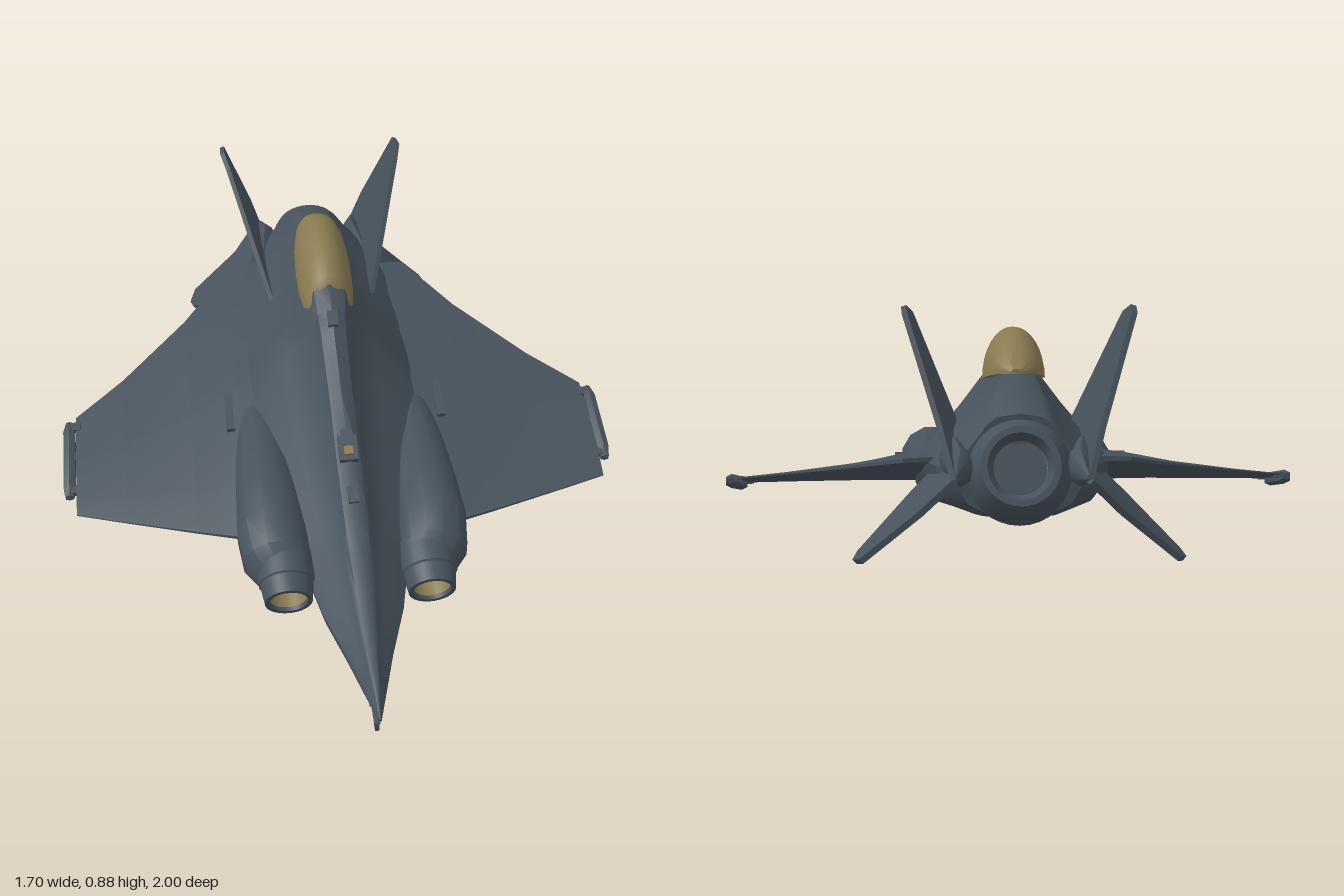
import * as THREE from 'three';
import { toCreasedNormals } from 'three/addons/utils/BufferGeometryUtils.js';

const hull = new THREE.MeshStandardMaterial({ color: 0x47525c, side: THREE.DoubleSide });
hull.name = 'slateHull';
const gold = new THREE.MeshStandardMaterial({ color: 0x887a50, side: THREE.DoubleSide });
gold.name = 'amberGlass';

// Skin a list of equal-length closed rings of [x, y, z] points and cap both ends.
function loft(rings, crease = 0.7) {
  const n = rings[0].length, pos = rings.flat(2), idx = [];
  for (let i = 0; i < rings.length - 1; i++) {
    for (let j = 0; j < n; j++) {
      const a = i * n + j, b = i * n + (j + 1) % n;
      idx.push(a, b, a + n, b, b + n, a + n);
    }
  }
  [0, rings.length - 1].forEach((r, end) => {
    const c = pos.length / 3;
    for (let k = 0; k < 3; k++) pos.push(rings[r].reduce((s, p) => s + p[k], 0) / n);
    for (let j = 0; j < n; j++) {
      const a = r * n + j, b = r * n + (j + 1) % n;
      if (end) idx.push(a, b, c); else idx.push(b, a, c);
    }
  });
  // turn the faces outward whichever way the rings run
  const v = (i) => new THREE.Vector3().fromArray(pos, i * 3);
  let volume = 0;
  for (let i = 0; i < idx.length; i += 3) volume += v(idx[i]).dot(v(idx[i + 1]).cross(v(idx[i + 2])));
  if (volume < 0) idx.reverse();
  const g = new THREE.BufferGeometry();
  g.setAttribute('position', new THREE.Float32BufferAttribute(pos, 3));
  g.setIndex(idx);
  return toCreasedNormals(g, crease);
}

// Flat plate from a 3D outline, thickened along a normal.
function plate(outline, normal, t) {
  return loft([-t, t].map((d) => outline.map((p) => p.map((c, k) => c + normal[k] * d))), 0.3);
}

// Wing plane climbs toward the tail, a little steeper behind the middle
const wingY = (x, z) => 0.277 - (z > 0 ? 0.25 : 0.285) * z - 0.035 * x;
const PITCH = Math.atan(0.25);

export function createModel() {
  const model = new THREE.Group();
  model.name = 'fighterCraft';
  const add = (name, geo, mat = hull, parent = model) => {
    const m = new THREE.Mesh(geo, mat);
    m.name = name;
    parent.add(m);
    return m;
  };
  const box = (name, size, at, mat = hull, pitch = PITCH) => {
    const m = add(name, new THREE.BoxGeometry(...size), mat);
    m.position.set(...at);
    m.rotation.x = pitch;
  };

  // Fuselage stations: z, bottom, widest height, top, half width, half width of spine
  const stations = [
    [1, 0.095, 0.1, 0.105, 0.004, 0.002], [0.9, 0.08, 0.11, 0.15, 0.033, 0.012],
    [0.8, 0.072, 0.13, 0.195, 0.063, 0.022], [0.65, 0.076, 0.16, 0.26, 0.115, 0.035],
    [0.5, 0.09, 0.185, 0.335, 0.15, 0.045], [0.4, 0.1, 0.2, 0.383, 0.205, 0.048],
    [0.3, 0.11, 0.215, 0.432, 0.245, 0.05], [0.1, 0.14, 0.26, 0.53, 0.28, 0.05],
    [-0.08, 0.17, 0.308, 0.62, 0.295, 0.055], [-0.15, 0.183, 0.325, 0.66, 0.295, 0.06],
    [-0.21, 0.195, 0.34, 0.71, 0.292, 0.069], [-0.235, 0.2, 0.347, 0.703, 0.29, 0.07],
    [-0.3, 0.213, 0.363, 0.69, 0.285, 0.077], [-0.4, 0.235, 0.392, 0.675, 0.275, 0.077],
    [-0.62, 0.285, 0.445, 0.688, 0.25, 0.07], [-0.75, 0.315, 0.465, 0.66, 0.215, 0.085],
    [-0.84, 0.34, 0.478, 0.615, 0.165, 0.085],
  ];
  add('fuselage', loft(stations.map(([z, bot, mid, top, w, t]) => {
    const a = top - mid, b = mid - bot;
    const half = [
      [0.7 * t, top - 0.06 * a], [t, top - 0.22 * a], [t + (w - t) * 0.35, mid + 0.5 * a],
      [t + (w - t) * 0.7, mid + 0.25 * a], [w, mid], [0.95 * w, mid - 0.38 * b],
      [0.8 * w, mid - 0.7 * b], [0.45 * w, mid - 0.91 * b],
    ];
    return [[0, top, z], ...half.map(([x, y]) => [x, y, z]), [0, bot, z],
      ...half.slice().reverse().map(([x, y]) => [-x, y, z])];
  }), 0.75));

  // Canopy stations: z, sill height, top, half width
  const canopy = [[-0.198, 0.61, 0.69, 0.066], [-0.225, 0.612, 0.73, 0.076], [-0.3, 0.618, 0.763, 0.085],
    [-0.4, 0.632, 0.776, 0.087], [-0.5, 0.652, 0.769, 0.082], [-0.58, 0.67, 0.744, 0.068],
    [-0.63, 0.682, 0.715, 0.045], [-0.652, 0.685, 0.698, 0.02]];
  add('canopy', loft(canopy.map(([z, y0, y1, w]) => Array.from({ length: 17 }, (_, i) => {
    const a = i * Math.PI / 16;
    return [w * Math.cos(a), y0 + (y1 - y0) * Math.sin(a), z];
  })), 0.8), gold);

  // Nozzle along +y whose throat is lined from one depth to another, then aimed along a direction
  const nozzle = (name, at, dir, profile, r, from, to) => {
    const g = new THREE.Group();
    g.name = name;
    g.position.set(...at);
    g.quaternion.setFromUnitVectors(new THREE.Vector3(0, 1, 0), new THREE.Vector3(...dir).normalize());
    const pts = [...profile, [r, -from]].map((p) => new THREE.Vector2(...p));
    add('nozzleShell', toCreasedNormals(new THREE.LatheGeometry(pts, 32), 0.6), hull, g);
    add('throatLining', new THREE.CylinderGeometry(r, r, to - from, 32, 1, true), gold, g)
      .position.y = -(from + to) / 2;
    add('throatBack', new THREE.CylinderGeometry(r, r, 0.008, 32), hull, g).position.y = -to;
    model.add(g);
  };
  nozzle('tailNozzle', [0, 0.5, -0.925], [0, 0.35, -1],
    [[0.138, -0.13], [0.128, -0.06], [0.117, -0.03], [0.1, 0], [0.084, 0]], 0.068, 0.042, 0.072);

  for (const s of [1, -1]) {
    const side = s > 0 ? 'left' : 'right';
    const flip = (pts) => pts.map(([x, y, z]) => [s * x, y, z]);

    // Wing ribs: x, front z, rear z, half thickness
    const ribs = [[0.1, 0.38, -0.68, 0.085], [0.3, 0.335, -0.69, 0.058], [0.45, 0.295, -0.5, 0.036],
      [0.66, 0.235, -0.29, 0.02], [0.812, 0.19, -0.165, 0.012]];
    const foil = [[0, 0.1], [0.15, 0.7], [0.5, 1], [0.85, 0.5], [1, 0.1],
      [1, -0.1], [0.85, -0.3], [0.5, -0.4], [0.15, -0.3], [0, -0.1]];
    add(side + 'Wing', loft(ribs.map(([x, zf, zr, t]) => flip(foil.map(([f, h]) => {
      const z = zf + (zr - zf) * f;
      return [x, wingY(x, z) + h * t, z];
    })))));

    // Wing tip rail on struts
    const ends = [[0.12, 0.012, 0.01], [0.09, 0.018, 0.022], [-0.11, 0.018, 0.022], [-0.15, 0.01, 0.01]];
    add(side + 'TipRail', loft(ends.map(([z, w, h]) => flip(
      [[-w, -h * 0.6], [-w, h * 0.6], [0, h], [w, h * 0.6], [w, -h * 0.6], [0, -h]]
        .map(([x, y]) => [0.833 + x, wingY(0.83, z) - 0.005 + y, z])))));
    for (const z of [0.1, -0.02, -0.13]) {
      box(side + 'TipStrut', [0.03, 0.016, 0.03], [s * 0.813, wingY(0.81, z), z]);
    }

    // Engine pod fading into the wing root: z, centre x, centre y, radii
    const pod = [[0.52, 0.212, 0.182, 0.078, 0.072], [0.48, 0.23, 0.212, 0.1, 0.09], [0.38, 0.238, 0.24, 0.104, 0.1],
      [0.25, 0.238, 0.262, 0.098, 0.093], [0.1, 0.24, 0.285, 0.085, 0.075], [-0.04, 0.245, 0.31, 0.06, 0.05],
      [-0.18, 0.245, 0.325, 0.03, 0.03]];
    add(side + 'EnginePod', loft(pod.map(([z, cx, cy, rx, ry]) => Array.from({ length: 12 }, (_, i) => {
      const a = (i + 0.5) * Math.PI / 6;
      return [s * (cx + rx * Math.cos(a)), cy + ry * Math.sin(a), z];
    })), 0.6));
    nozzle(side + 'EngineNozzle', [s * 0.208, 0.163, 0.59], [0, -0.32, 1],
      [[0.082, -0.15], [0.082, -0.06], [0.077, -0.055], [0.069, 0], [0.056, 0]], 0.054, 0.012, 0.13);

    // Tail fins and the boom that carries them
    add(side + 'UpperFin', plate(flip([[0.165, 0.52, -0.43], [0.275, 0.855, -0.71], [0.29, 0.88, -0.77],
      [0.287, 0.87, -0.83], [0.2, 0.6, -0.945], [0.168, 0.48, -0.99], [0.15, 0.45, -0.72]]), [s * 0.95, -0.31, 0], 0.007));
    add(side + 'LowerFin', plate(flip([[0.2, 0.44, -0.62], [0.28, 0.37, -0.69], [0.41, 0.25, -0.815], [0.42, 0.24, -0.86],
      [0.4, 0.256, -0.915], [0.25, 0.385, -0.945], [0.168, 0.475, -1], [0.13, 0.5, -0.8]]), [s * 0.68, 0.73, 0], 0.008));
    const boom = [[-0.55, 0.18, 0.46, 0.03], [-0.75, 0.165, 0.48, 0.06], [-0.88, 0.15, 0.485, 0.048], [-0.985, 0.163, 0.482, 0.008]];
    add(side + 'TailBoom', loft(boom.map(([z, cx, cy, r]) => Array.from({ length: 8 }, (_, i) => {
      const a = i * Math.PI / 4;
      return [s * (cx + r * 0.7 * Math.cos(a)), cy + r * Math.sin(a), z];
    })), 0.9));

    // Small shoulder ridge beside the hull
    box(side + 'ShoulderRidge', [0.025, 0.025, 0.14], [s * 0.33, 0.338, -0.08]);
  }

  // Spine sensor and bumps
  box('spineSensorHousing', [0.055, 0.02, 0.08], [0, 0.45, 0.27], hull, 0.45);
  box('spineSensor', [0.026, 0.024, 0.026], [0, 0.452, 0.285], gold, 0.45);
  [[0.4, 0.383], [0.24, 0.468], [-0.12, 0.643]].forEach(([z, y]) => box('spineBump', [0.03, 0.018, 0.05], [0, y, z], hull, 0.45));

  // Chin gun
  const path = new THREE.CatmullRomCurve3([[0, 0.085, 0.62], [0, 0.055, 0.72], [0, 0.04, 0.84], [0, 0.03, 0.95]]
    .map((p) => new THREE.Vector3(...p)));
  add('chinGunBarrel', new THREE.TubeGeometry(path, 16, 0.009, 8));
  box('chinGunMount', [0.04, 0.035, 0.12], [0, 0.062, 0.72], hull, 0.15);
  box('chinGunBody', [0.025, 0.025, 0.09], [0, 0.042, 0.84], hull, 0.1);
  box('chinGunSight', [0.012, 0.03, 0.02], [0, 0.015, 0.94], hull, 0);
  return model;
}
